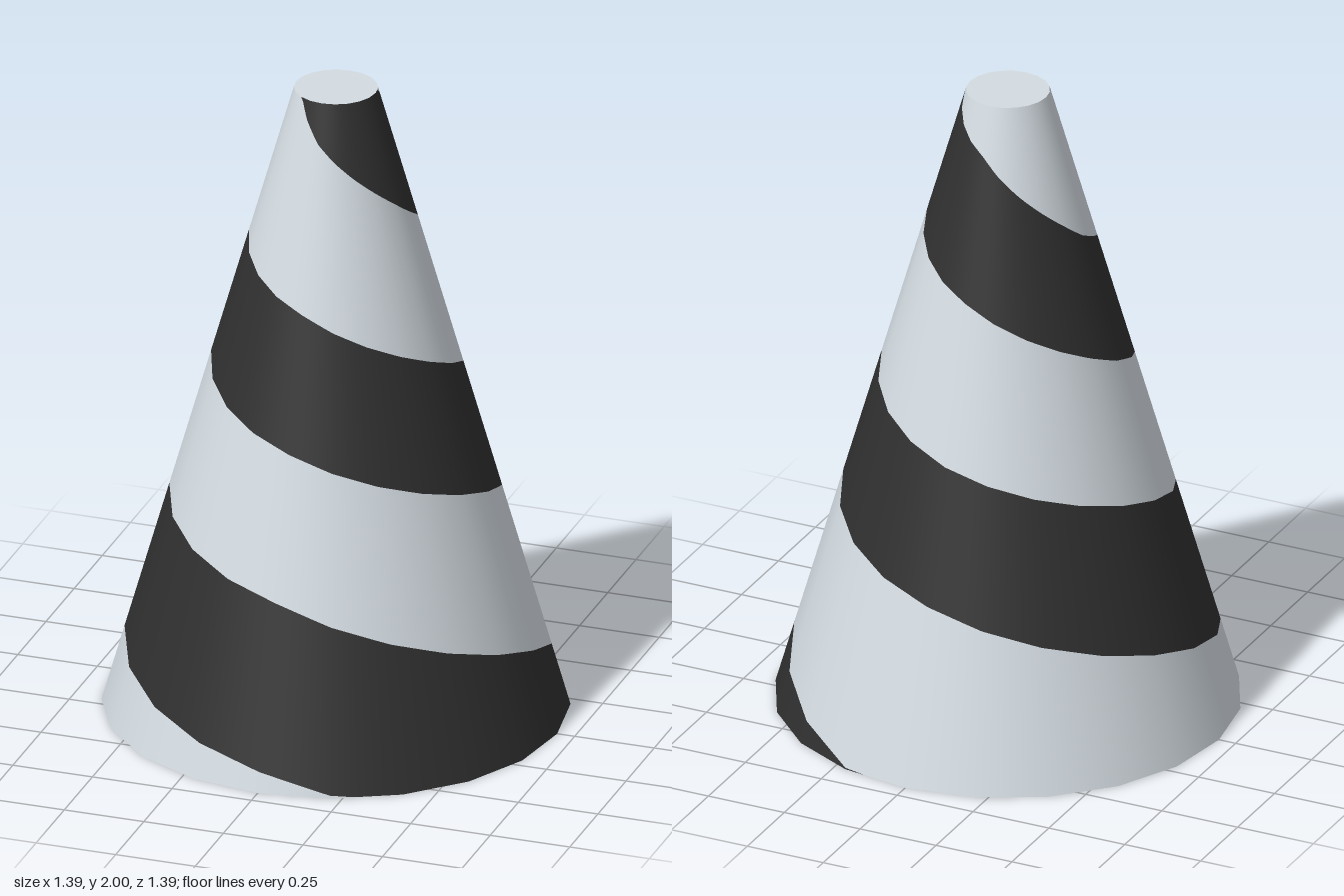
import * as THREE from 'three';

const HEIGHT = 2, R_BOTTOM = 0.695, R_TOP = 0.125, SIDES = 20, SUB = 3;

// Height of each stripe edge, every quarter turn starting at -90 degrees
const LOWER = [-0.42, -0.2, 0.06, 0.285, 0.53, 0.756, 0.98, 1.18, 1.42, 1.63, 1.88, 2.2];
const UPPER = [-0.06, 0.26, 0.55, 0.745, 0.94, 1.157, 1.385, 1.57, 1.85, 2.02, 2.25, 2.5];

function edgeHeight(table, degrees) {
  const t = (degrees + 90) / 90;
  if (t < 0) return 0;
  if (t >= table.length - 1) return HEIGHT;
  const i = Math.floor(t);
  return THREE.MathUtils.clamp(THREE.MathUtils.lerp(table[i], table[i + 1], t - i), 0, HEIGHT);
}

// Strip of the many-sided cone wall between two winding edges
function spiralBand(bottomAt, topAt, from, to) {
  const positions = [], normals = [], index = [];
  const facet = 360 / SIDES, step = facet / SUB;
  const slope = (R_BOTTOM - R_TOP) / HEIGHT;
  const addVertex = (deg, y) => {
    const a = THREE.MathUtils.degToRad(deg);
    // pull points inside a facet back onto its flat chord
    const local = deg - (Math.floor(deg / facet + 1e-6) + 0.5) * facet;
    const chord = Math.cos(Math.PI / SIDES) / Math.cos(THREE.MathUtils.degToRad(local));
    const r = (R_BOTTOM - slope * y) * chord;
    positions.push(r * Math.cos(a), y, r * Math.sin(a));
    const n = new THREE.Vector3(Math.cos(a), slope, Math.sin(a)).normalize();
    normals.push(n.x, n.y, n.z);
  };
  const count = Math.round((to - from) / step);
  for (let i = 0; i <= count; i++) {
    const deg = from + i * step;
    const low = bottomAt(deg), high = Math.max(low, topAt(deg));
    addVertex(deg, low);
    addVertex(deg, high);
    if (i === count) break;
    const k = i * 2;
    const nextLow = bottomAt(deg + step), nextHigh = topAt(deg + step);
    if (high - low < 1e-5 && nextHigh - nextLow < 1e-5) continue;
    index.push(k, k + 1, k + 3, k, k + 3, k + 2);
  }
  const geometry = new THREE.BufferGeometry();
  geometry.setAttribute('position', new THREE.Float32BufferAttribute(positions, 3));
  geometry.setAttribute('normal', new THREE.Float32BufferAttribute(normals, 3));
  geometry.setIndex(index);
  return geometry;
}

export function createModel() {
  const group = new THREE.Group();
  group.name = 'stripedCone';

  const white = new THREE.MeshStandardMaterial({ color: 0xd3dbe1, side: THREE.DoubleSide });
  white.name = 'paleGrey';
  const black = new THREE.MeshStandardMaterial({ color: 0x2f2f2f, side: THREE.DoubleSide });
  black.name = 'charcoal';

  const add = (name, geometry, material) => {
    const mesh = new THREE.Mesh(geometry, material);
    mesh.name = name;
    group.add(mesh);
    return mesh;
  };

  // Dark stripe winding up the cone
  add('darkSpiral', spiralBand(
    d => edgeHeight(LOWER, d), d => edgeHeight(UPPER, d), -90, 900), black);

  // Pale stripe filling the gap up to the next turn of the dark one
  add('paleSpiral', spiralBand(
    d => edgeHeight(UPPER, d), d => edgeHeight(LOWER, d + 360), -360, 720), white);

  // Flat top; the base stays open
  const cap = add('topCap', new THREE.CircleGeometry(R_TOP, SIDES).rotateX(-Math.PI / 2), white);
  cap.position.y = HEIGHT;

  return group;
}
